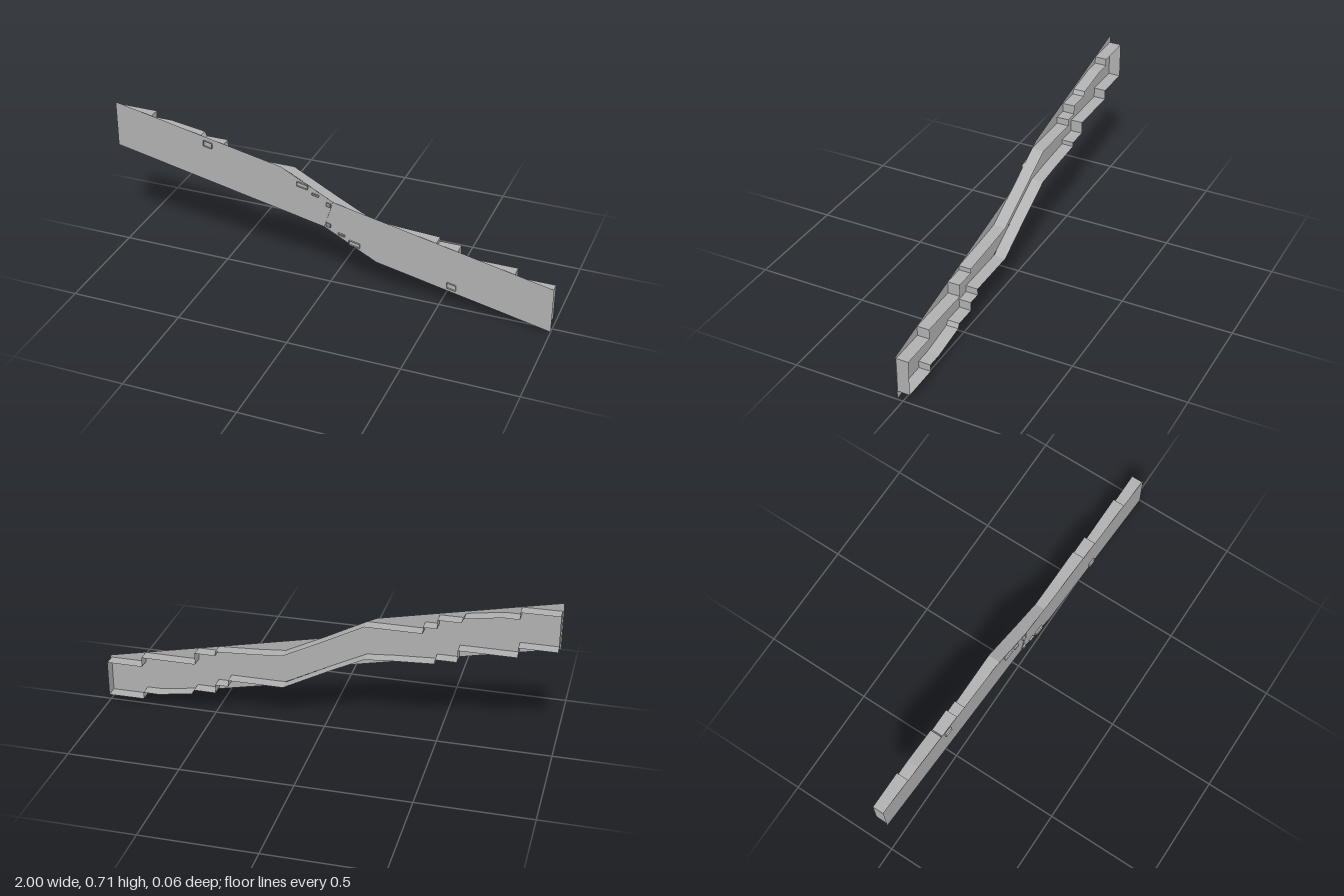
import * as THREE from 'three';

const FRONT = 0.025, BACK = -0.03, MID_Y = 0.36;

// Half-turn about the centre of the panel
const turn = pts => pts.map(([x, y]) => [-x, 2 * MID_Y - y]);

// Open strip that follows a path, running from z0 to z1
function strip(path, z0, z1, closed = true) {
  const pos = [];
  const count = closed ? path.length : path.length - 1;
  for (let i = 0; i < count; i++) {
    const [ax, ay] = path[i];
    const [bx, by] = path[(i + 1) % path.length];
    // path runs clockwise, so the outside is the front of each face
    pos.push(ax, ay, z0, ax, ay, z1, bx, by, z1);
    pos.push(ax, ay, z0, bx, by, z1, bx, by, z0);
  }
  const g = new THREE.BufferGeometry();
  g.setAttribute('position', new THREE.Float32BufferAttribute(pos, 3));
  g.computeVertexNormals();
  return g;
}

export function createModel() {
  const group = new THREE.Group();
  const grey = new THREE.MeshStandardMaterial({ color: 0xb0b0b0, side: THREE.DoubleSide });
  grey.name = 'plainGrey';

  const add = (name, geometry) => {
    const mesh = new THREE.Mesh(geometry, grey);
    mesh.name = name;
    group.add(mesh);
    return mesh;
  };

  // Two thin face panels meeting at a slanted seam
  const rightPanel = [[-1, 0.715], [-0.22, 0.55], [0.02, 0.425], [-0.02, 0.295], [-1, 0.505]];
  const panels = { rightPanel, leftPanel: turn(rightPanel) };
  for (const [name, pts] of Object.entries(panels)) {
    const shape = new THREE.Shape(pts.map(p => new THREE.Vector2(...p)));
    add(name, new THREE.ShapeGeometry(shape)).position.z = FRONT;
  }

  // Stepped rim behind the panels, open at the back
  const topEdge = [
    [-0.995, 0.678], [-0.83, 0.677], [-0.83, 0.645], [-0.76, 0.645], [-0.6, 0.62],
    [-0.59, 0.6], [-0.49, 0.6], [-0.49, 0.56], [-0.43, 0.56], [-0.43, 0.53],
    [-0.18, 0.53], [0.02, 0.425], [0.06, 0.405], [0.18, 0.345], [0.3, 0.335],
    [0.485, 0.325], [0.485, 0.305], [0.58, 0.305], [0.58, 0.25], [0.83, 0.25],
    [0.83, 0.205], [0.995, 0.205],
  ];
  add('steppedRim', strip([...topEdge, ...turn(topEdge)], BACK, FRONT));

  // Raised seam between the two panels
  add('seam', strip([[0.02, 0.425], [-0.02, 0.295]], FRONT, FRONT + 0.003, false));

  // Small open clips on the face: x, y, width, height
  const clips = [[-0.56, 0.592, 0.04, 0.034], [-0.12, 0.48, 0.05, 0.03],
    [-0.06, 0.446, 0.03, 0.014], [0, 0.41, 0.02, 0.02]];
  for (const [cx, cy, w, h] of clips) {
    const box = [[cx - w / 2, cy + h / 2], [cx + w / 2, cy + h / 2 - w * 0.2],
      [cx + w / 2, cy - h / 2], [cx - w / 2, cy - h / 2 + w * 0.2]];
    add('clip', strip(box, FRONT, FRONT + 0.008));
    add('clip', strip(turn(box), FRONT, FRONT + 0.008));
  }
  return group;
}
